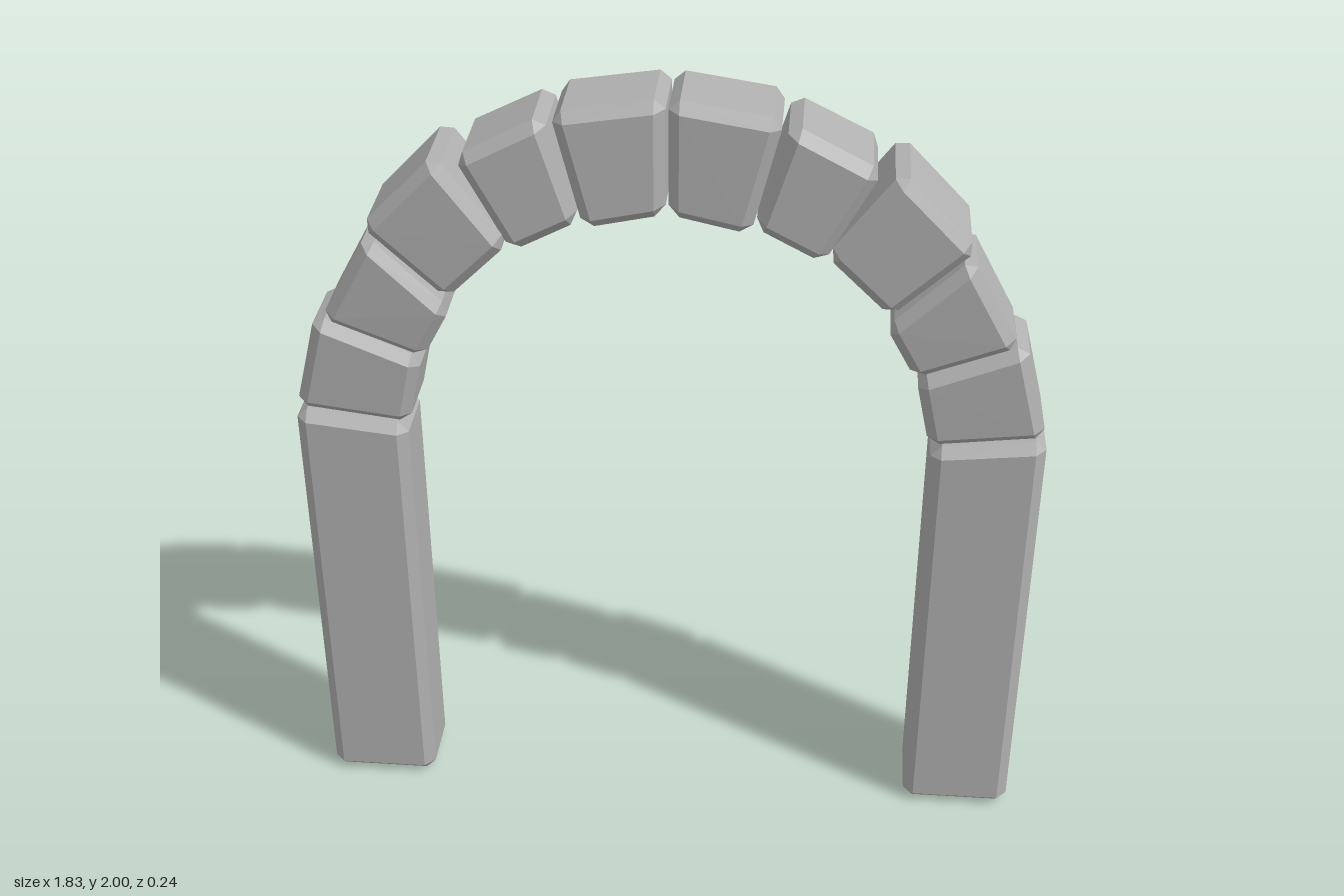
import * as THREE from 'three';
import { ConvexGeometry } from 'three/addons/geometries/ConvexGeometry.js';

const BEVEL = 0.026;

// Each stone: outline [inner bottom, outer bottom, outer top, inner top],
// then [back, front] depth at its lower end and at its upper end.
const stones = [
  { name: 'pillar', outline: [[0.64, 0], [0.916, 0], [0.916, 1.153], [0.64, 1.122]], low: [-0.1, 0.1], high: [-0.1, 0.1] },
  { name: 'springerStone', outline: [[0.633, 1.127], [0.912, 1.162], [0.845, 1.42], [0.592, 1.315]], low: [-0.107, 0.1], high: [-0.105, 0.107] },
  { name: 'lowerArchStone', outline: [[0.587, 1.317], [0.828, 1.412], [0.7, 1.645], [0.512, 1.458]], low: [-0.095, 0.106], high: [-0.097, 0.118] },
  { name: 'haunchStone', outline: [[0.52, 1.483], [0.712, 1.665], [0.528, 1.855], [0.365, 1.637]], low: [-0.097, 0.112], high: [-0.1, 0.118], smoothBack: true },
  { name: 'upperArchStone', outline: [[0.36, 1.615], [0.485, 1.85], [0.278, 1.955], [0.198, 1.697]], low: [-0.12, 0.113], high: [-0.115, 0.107] },
  { name: 'crownStone', outline: [[0.192, 1.68], [0.262, 1.965], [0.003, 2], [0.003, 1.715]], low: [-0.115, 0.11], high: [-0.125, 0.097] },
];

// A six-sided stone with every edge chamfered; three points replace each corner
function stoneGeometry({ outline, low, high, smoothBack }, side) {
  const corner = (i, k) => new THREE.Vector3(
    outline[i][0] * side, outline[i][1], (i < 2 ? low : high)[k]);
  const points = [];
  for (let k = 0; k < 2; k++) {
    for (let i = 0; i < 4; i++) {
      const c = corner(i, k);
      const [a, b, d] = [corner((i + 1) % 4, k), corner((i + 3) % 4, k), corner(i, 1 - k)]
        .map((p) => p.sub(c).setLength(BEVEL));
      if (smoothBack && k === 0) {
        // unchamfered back rim
        points.push(c.clone().add(a), c.clone().add(b));
      } else {
        points.push(c.clone().add(a).add(b), c.clone().add(a).add(d), c.clone().add(b).add(d));
      }
    }
  }
  const geometry = new ConvexGeometry(points);
  if (smoothBack) softenBack(geometry);
  return geometry;
}

// Lean the normals of the back face outwards so that it reads as rounded
function softenBack(geometry) {
  geometry.computeBoundingBox();
  const centre = geometry.boundingBox.getCenter(new THREE.Vector3());
  const { position, normal } = geometry.attributes;
  const p = new THREE.Vector3();
  for (let i = 0; i < position.count; i++) {
    if (normal.getZ(i) > -0.9) continue;
    p.fromBufferAttribute(position, i).sub(centre).setZ(0).multiplyScalar(3);
    p.z = -1;
    p.normalize();
    normal.setXYZ(i, p.x, p.y, p.z);
  }
}

export function createModel() {
  const model = new THREE.Group();
  model.name = 'stoneArch';
  const stone = new THREE.MeshStandardMaterial({ color: 0xb0b0b0 });
  stone.name = 'greyStone';

  // Mirrored halves meeting at the crown
  for (const [label, side] of [['left', 1], ['right', -1]]) {
    const half = new THREE.Group();
    half.name = `${label}Half`;
    for (const spec of stones) {
      const mesh = new THREE.Mesh(stoneGeometry(spec, side), stone);
      mesh.name = `${label} ${spec.name}`;
      half.add(mesh);
    }
    model.add(half);
  }
  return model;
}
